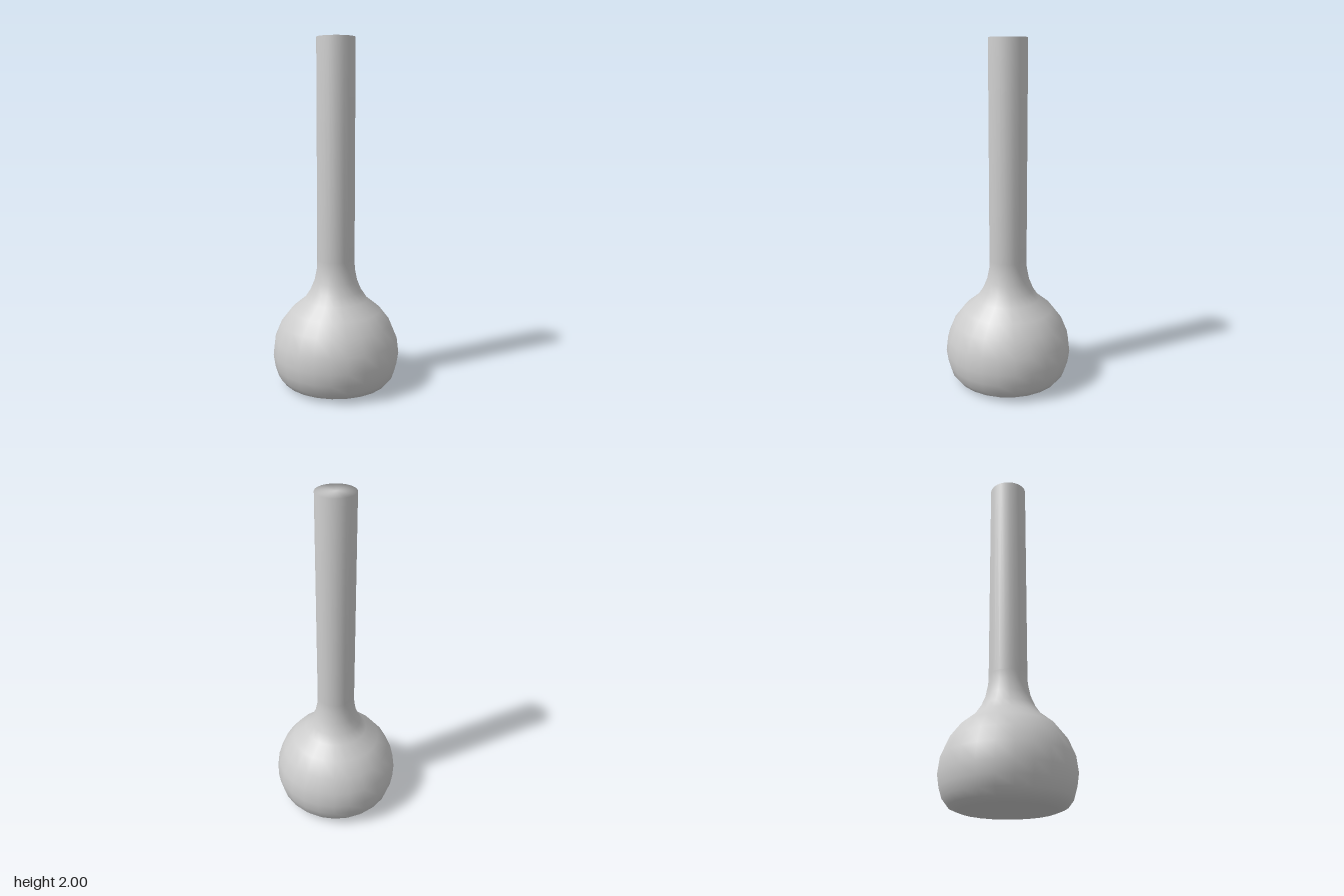
import * as THREE from 'three';

// A round-bellied flask with a long straight neck, turned as one smooth lathe.
export function createModel() {
  const group = new THREE.Group();
  group.name = 'longNeckedFlask';

  // [radius, height] from the centre of the base to the centre of the top
  const profile = [
    [0, 0], [0.265, 0.003], [0.313, 0.022], [0.343, 0.06], [0.36, 0.115], // flat base and rounded foot
    [0.371, 0.185], [0.36, 0.275], [0.322, 0.367], [0.262, 0.445], // belly
    [0.185, 0.508], [0.15, 0.56], [0.125, 0.62], [0.111, 0.69], [0.109, 0.745], // flared shoulder
    [0.109, 2], [0, 2], // neck and flat top
  ].map(([r, y]) => new THREE.Vector2(r, y));

  const flask = new THREE.Mesh(
    new THREE.LatheGeometry(profile, 24),
    new THREE.MeshStandardMaterial({ color: 0xcccccc }),
  );
  flask.name = 'flaskBody';
  group.add(flask);
  return group;
}
